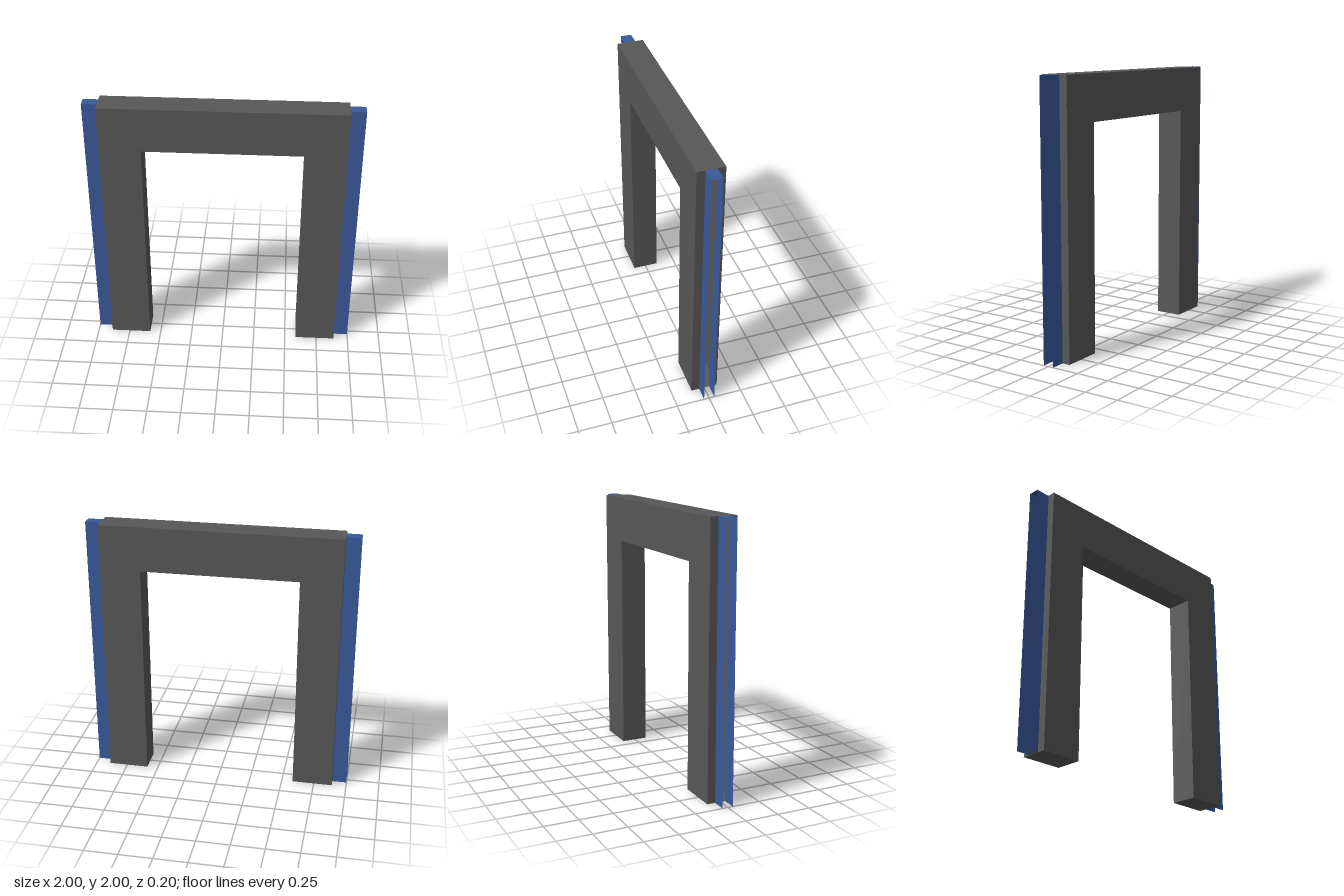
import * as THREE from 'three';

const H = 2;         // overall height
const END = 0.89;    // half width of the frame
const JAMB = 0.585;  // half width of the opening
const LINTEL = 1.665; // height of the opening
const D = 0.1;       // half depth of the frame
const C = 0.04;      // half depth of the side channels

export function createModel() {
  const group = new THREE.Group();
  const frameGray = new THREE.MeshStandardMaterial({ color: 0x575757, side: THREE.DoubleSide });
  frameGray.name = 'frame gray';
  const channelBlue = new THREE.MeshStandardMaterial({ color: 0x39599a, side: THREE.DoubleSide });
  channelBlue.name = 'channel blue';

  const add = (name, geometry, material) => {
    const mesh = new THREE.Mesh(geometry, material);
    mesh.name = name;
    group.add(mesh);
  };

  // Flat panels: upright facing z, upright facing x, and level
  const panelZ = (x0, x1, z, dir) => new THREE.PlaneGeometry(x1 - x0, H)
    .rotateY(dir > 0 ? 0 : Math.PI).translate((x0 + x1) / 2, H / 2, z);
  const panelX = (z0, z1, x, h, dir) => new THREE.PlaneGeometry(z1 - z0, h)
    .rotateY(dir * Math.PI / 2).translate(x, h / 2, (z0 + z1) / 2);
  const panelY = (x0, x1, halfZ, y, dir) => new THREE.PlaneGeometry(x1 - x0, halfZ * 2)
    .rotateX(-dir * Math.PI / 2).translate((x0 + x1) / 2, y, 0);

  // Arch-shaped front and back faces of the hollow frame
  const arch = new THREE.Shape([
    [-END, 0], [-JAMB, 0], [-JAMB, LINTEL], [JAMB, LINTEL],
    [JAMB, 0], [END, 0], [END, H], [-END, H],
  ].map(([x, y]) => new THREE.Vector2(x, y)));
  add('frontFace', new THREE.ShapeGeometry(arch).translate(0, 0, D), frameGray);
  add('backFace', new THREE.ShapeGeometry(arch).rotateY(Math.PI).translate(0, 0, -D), frameGray);

  // Top of the frame and underside of the lintel
  add('frameTop', panelY(-END, END, D, H, 1), frameGray);
  add('lintelUnderside', panelY(-JAMB, JAMB, D, LINTEL, -1), frameGray);

  for (const s of [-1, 1]) {
    const side = s > 0 ? 'left' : 'right';
    const span = (a, b) => (s > 0 ? [a, b] : [-b, -a]);

    // Inner jamb, leg base and the end strips beside the channel slot
    add(side + 'Jamb', panelX(-D, D, s * JAMB, LINTEL, -s), frameGray);
    add(side + 'LegBase', panelY(...span(JAMB, END), D, 0, -1), frameGray);
    add(side + 'EndFrontStrip', panelX(C, D, s * END, H, s), frameGray);
    add(side + 'EndBackStrip', panelX(-D, -C, s * END, H, s), frameGray);

    // Open-ended blue channel with a cap on top
    const [x0, x1] = span(END, 1);
    add(side + 'ChannelFront', panelZ(x0, x1, C, 1), channelBlue);
    add(side + 'ChannelBack', panelZ(x0, x1, -C, -1), channelBlue);
    add(side + 'ChannelCap', panelY(x0, x1, C, H, 1), channelBlue);
  }
  return group;
}
